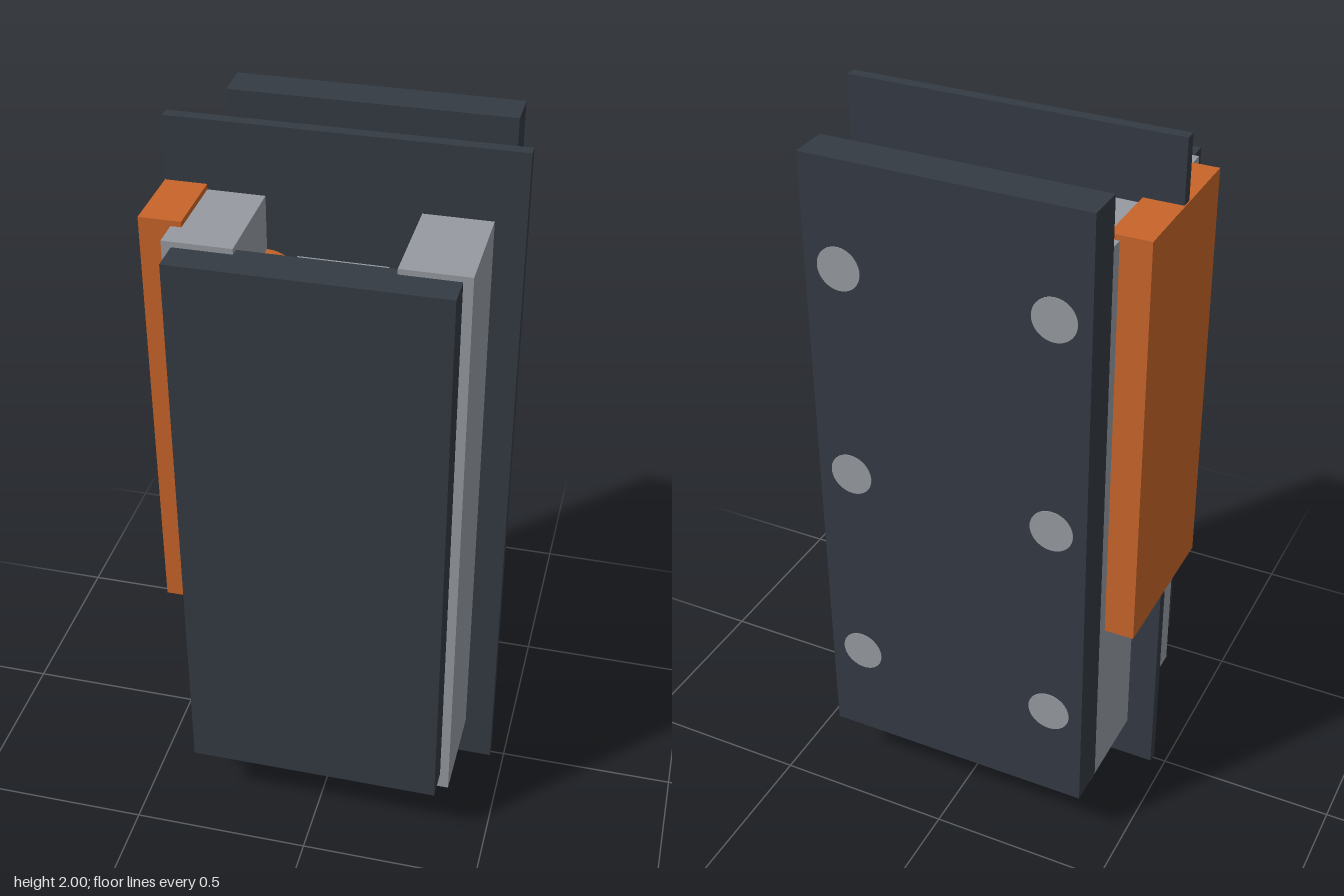
import * as THREE from 'three';

const dark = new THREE.MeshStandardMaterial({ color: 0x343b44 });
const orange = new THREE.MeshStandardMaterial({ color: 0xc8642a });
const grey = new THREE.MeshStandardMaterial({ color: 0x969ba1 });

export function createModel() {
  const model = new THREE.Group();
  model.name = 'clampAssembly';

  // Box given by its extents on each axis
  const box = (name, material, [x0, x1], [y0, y1], [z0, z1]) => {
    const mesh = new THREE.Mesh(new THREE.BoxGeometry(x1 - x0, y1 - y0, z1 - z0), material);
    mesh.position.set((x0 + x1) / 2, (y0 + y1) / 2, (z0 + z1) / 2);
    mesh.name = name;
    model.add(mesh);
  };

  // Cylinder lying along z
  const rod = (name, material, radius, x, y, z0, z1) => {
    const geometry = new THREE.CylinderGeometry(radius, radius, z1 - z0, 40).rotateX(Math.PI / 2);
    const mesh = new THREE.Mesh(geometry, material);
    mesh.position.set(x, y, (z0 + z1) / 2);
    mesh.name = name;
    model.add(mesh);
  };

  // Dark plates
  box('frontPlate', dark, [-0.355, 0.355], [0.18, 1.795], [0.275, 0.386]);
  box('middlePlate', dark, [-0.46, 0.46], [0, 2], [-0.016, 0.016]);
  box('backPlate', dark, [-0.387, 0.387], [0.15, 1.953], [-0.387, -0.277]);

  // Core block between the rails
  box('coreBlock', grey, [-0.12, 0.12], [0.3, 1.65], [-0.235, 0.235]);

  // Side rails, with rollers and flush bolts at three heights
  for (const side of [-1, 1]) {
    const x = side * 0.29;
    box(side > 0 ? 'leftRail' : 'rightRail', grey, [x - 0.09, x + 0.09], [0.13, 1.81], [-0.3, 0.3]);
    for (const y of [0.44, 1.05, 1.66]) {
      rod('bolt', grey, 0.06, x, y, -0.389, -0.25);
      rod('roller', orange, 0.1, side * 0.2, y - 0.1, -0.276, 0.276);
    }
  }

  // Orange side block and foot
  box('sideBlock', orange, [-0.463, -0.352], [0.635, 1.825], [-0.225, 0.225]);
  box('footBlock', orange, [-0.24, 0.24], [0.08, 0.24], [-0.12, 0.215]);

  return model;
}
